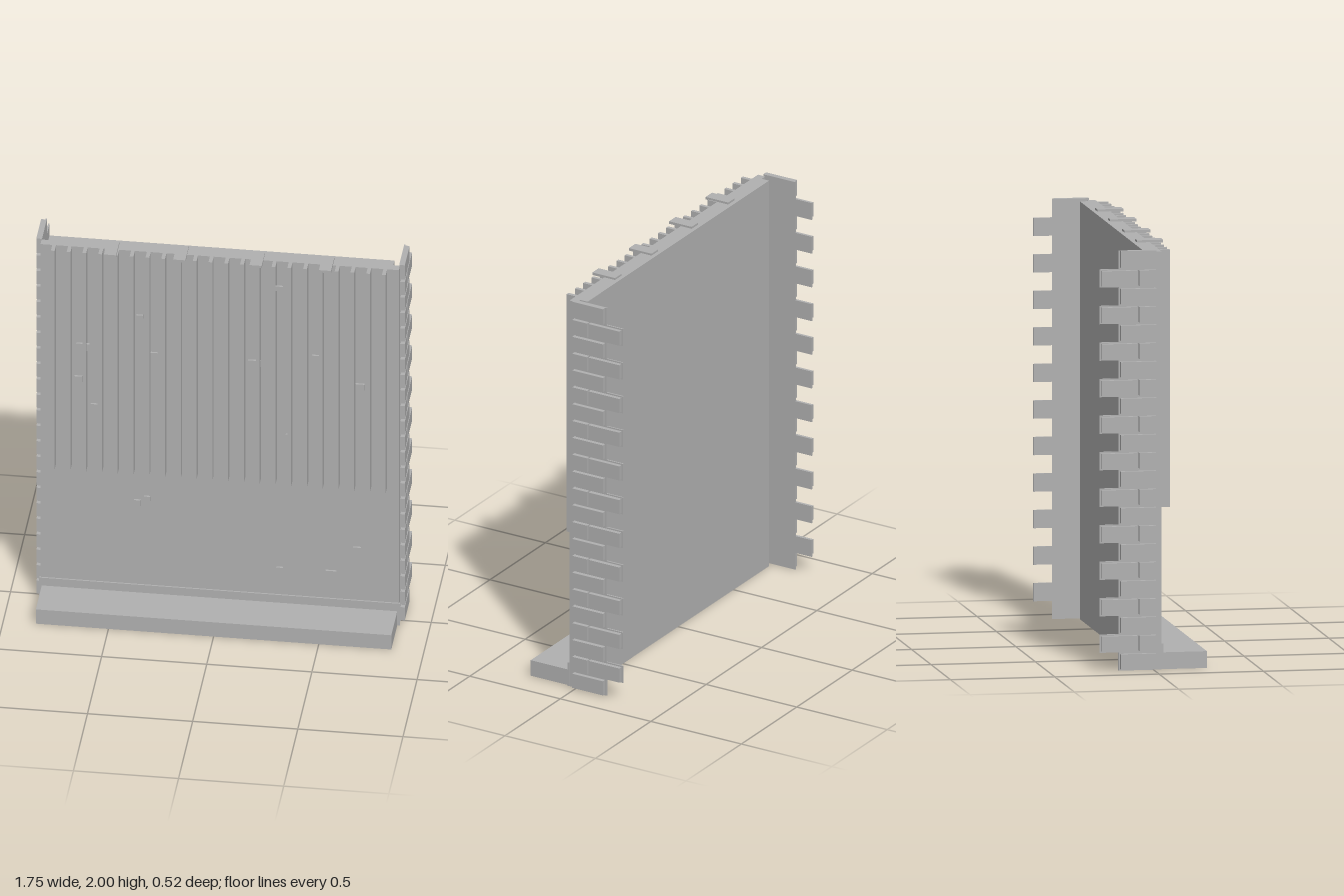
import * as THREE from 'three';

export function createModel() {
  const root = new THREE.Group();
  root.name = 'wallSection';
  const grey = new THREE.MeshStandardMaterial({ color: 0xb0b0b0 });
  grey.name = 'plain grey';

  // Box given by its lower and upper limits on each axis
  function box(name, parent, x0, x1, y0, y1, z0, z1) {
    const m = new THREE.Mesh(new THREE.BoxGeometry(x1 - x0, y1 - y0, z1 - z0), grey);
    m.position.set((x0 + x1) / 2, (y0 + y1) / 2, (z0 + z1) / 2);
    m.name = name;
    parent.add(m);
    return m;
  }
  function group(name) {
    const g = new THREE.Group();
    g.name = name;
    root.add(g);
    return g;
  }

  // Wall core with a wider front facing
  box('wallCore', root, -0.82, 0.82, 0, 1.99, -0.04, 0);
  box('wallFacing', root, -0.852, 0.852, 0, 1.99, 0, 0.04);

  // Step and skirting at the foot
  box('step', root, -0.845, 0.845, 0, 0.08, 0, 0.258);
  box('skirting', root, -0.857, 0.857, 0.002, 0.123, 0.036, 0.048);

  // Vertical ribs on the upper part
  const ribs = group('ribs');
  for (let i = 0; i < 22; i++) {
    const x = -0.787 + i * 0.07495;
    box('rib', ribs, x - 0.009, x + 0.009, 0.765, 1.99, 0.038, 0.09);
  }

  // Brick quoins on both sides, in alternating courses over a mortar sheet
  const rows = 23, pitch = 2 / rows, gap = 0.007;
  for (const side of [-1, 1]) {
    const quoin = group(side > 0 ? 'leftQuoin' : 'rightQuoin');
    const span = (name, a, b, y0, y1, z0, z1) =>
      box(name, quoin, Math.min(side * a, side * b), Math.max(side * a, side * b), y0, y1, z0, z1);
    for (let r = 0; r < rows; r++) {
      const y0 = r * pitch, y1 = y0 + pitch, even = r % 2 === 0;
      span('mortar', 0.849, 0.856, y0, y1, even ? -0.168 : -0.258, 0.005);
      const lo = y0 + gap, hi = r === rows - 1 ? 2 : y1 - gap;
      if (even) {
        span('longBrick', 0.851, 0.876, lo, hi, -0.16, 0.01);
      } else {
        span('shortBrick', 0.851, 0.876, lo, hi, -0.072, 0.01);
        span('longBrick', 0.851, 0.876, lo, hi, -0.25, -0.08);
      }
    }
  }

  // Clips hooked over the top edge
  const clips = group('clips');
  for (const x of [-0.513, -0.184, 0.179, 0.509]) {
    box('clip', clips, x - 0.029, x + 0.029, 1.987, 2, -0.02, 0.105);
  }

  // Small loose chips: centre x, centre y, width, height
  const chips = group('chips');
  for (const [x, y, w, h] of [
    [-0.645, 1.457, 0.063, 0.037], [-0.375, 1.647, 0.032, 0.022],
    [-0.307, 1.435, 0.032, 0.037], [-0.667, 1.275, 0.037, 0.032],
    [-0.592, 1.123, 0.032, 0.037], [0.288, 1.864, 0.037, 0.026],
    [0.17, 1.435, 0.058, 0.032], [0.47, 1.485, 0.053, 0.037],
    [0.672, 1.345, 0.042, 0.032], [0.333, 1.037, 0.028, 0.026],
    [-0.386, 0.604, 0.032, 0.032], [-0.339, 0.63, 0.032, 0.028],
    [0.658, 0.423, 0.037, 0.042], [0.29, 0.286, 0.032, 0.028],
    [0.534, 0.286, 0.053, 0.032],
  ]) {
    box('chip', chips, x - w / 2, x + w / 2, y - h / 2, y + h / 2, 0.074, 0.084);
  }
  return root;
}
